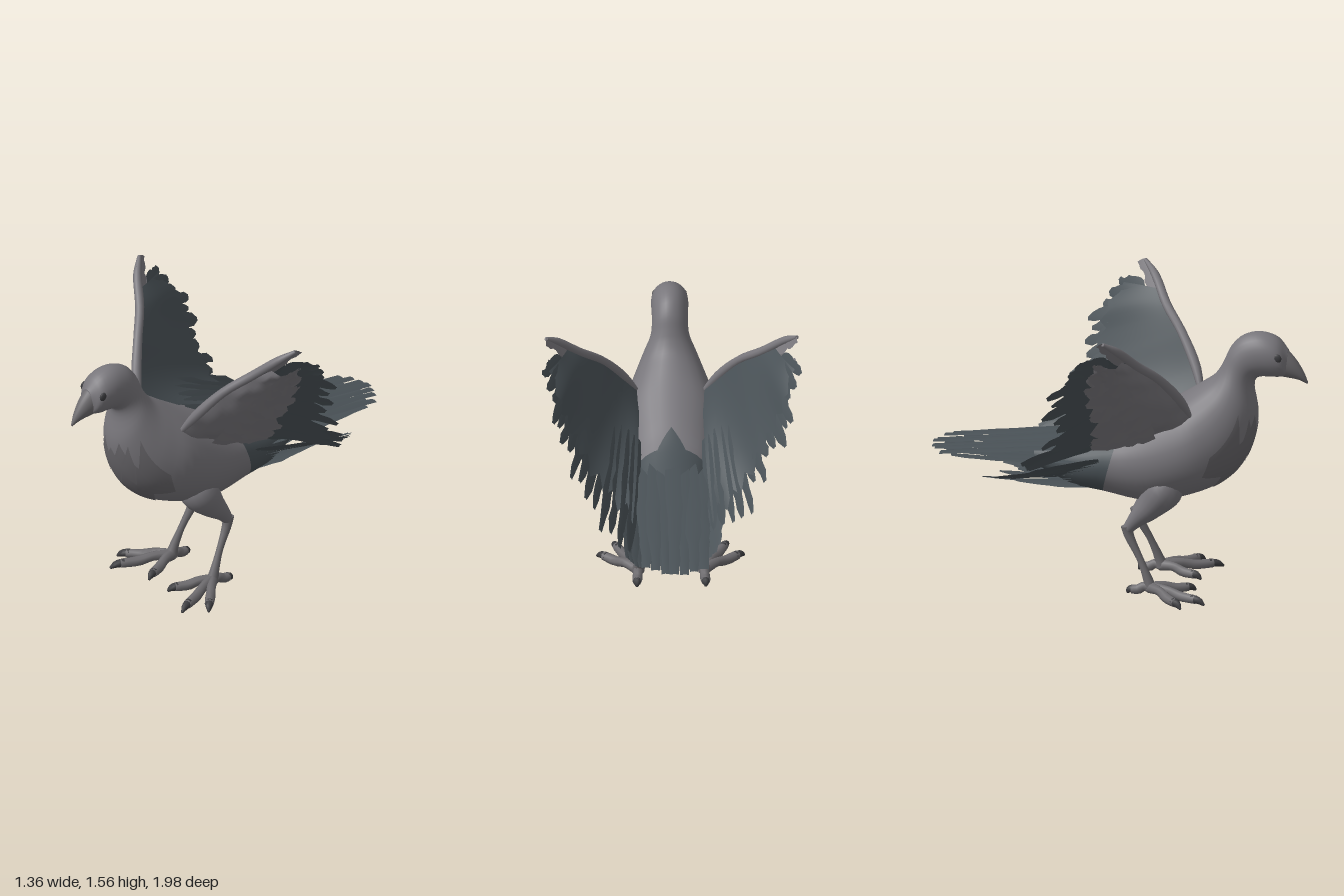
import * as THREE from 'three';

const mat = (name, color, side = THREE.FrontSide) => {
  const m = new THREE.MeshStandardMaterial({ color, side });
  m.name = name;
  return m;
};
const V = (x, y, z) => new THREE.Vector3(x, y, z);

// Closed skin over equal-sized rings of points, always wound outwards, with crisp end caps
function loft(rings) {
  const n = rings[0].length, idx = [], last = rings.length - 1;
  const pos = [...rings, rings[0], rings[last]].flat().flatMap(p => [p.x, p.y, p.z]);
  for (let i = 0; i < last; i++) for (let j = 0; j < n; j++) {
    const a = i * n + j, b = i * n + (j + 1) % n;
    idx.push(a, b, a + n, b, b + n, a + n);
  }
  const c0 = (last + 1) * n, c1 = c0 + n;
  for (let j = 1; j < n - 1; j++) idx.push(c0, c0 + j + 1, c0 + j, c1, c1 + j, c1 + j + 1);
  let volume = 0;
  const at = i => V(pos[3 * i], pos[3 * i + 1], pos[3 * i + 2]);
  for (let i = 0; i < idx.length; i += 3) volume += at(idx[i]).dot(at(idx[i + 1]).cross(at(idx[i + 2])));
  if (volume < 0) idx.reverse();
  return finish(pos, idx);
}

function finish(pos, idx) {
  const g = new THREE.BufferGeometry();
  g.setAttribute('position', new THREE.Float32BufferAttribute(pos, 3));
  g.setIndex(idx);
  g.computeVertexNormals();
  return g;
}

// Open sheet from a rule f(u, v)
function sheet(f, nu, nv) {
  const pos = [], idx = [];
  for (let i = 0; i <= nu; i++) for (let j = 0; j <= nv; j++) {
    const p = f(i / nu, j / nv);
    pos.push(p.x, p.y, p.z);
    if (i < nu && j < nv) {
      const a = i * (nv + 1) + j, b = a + nv + 1;
      idx.push(a, b, a + 1, b, b + 1, a + 1);
    }
  }
  return finish(pos, idx);
}

// Tapered limb through points [x, y, z, radius]
function limb(pts, steps = 10, sides = 10) {
  const curve = new THREE.CatmullRomCurve3(pts.map(p => V(p[0], p[1], p[2])));
  const rad = new THREE.CatmullRomCurve3(pts.map(p => V(p[3], 0, 0)), false, 'catmullrom');
  const rings = [];
  for (let i = 0; i <= steps; i++) {
    const t = i / steps, c = curve.getPoint(t), d = curve.getTangent(t), r = rad.getPoint(t).x;
    const a = V(1, 0, 0).addScaledVector(d, -d.x).normalize(), b = d.clone().cross(a);
    rings.push(Array.from({ length: sides }, (_, j) => {
      const q = j / sides * Math.PI * 2;
      return c.clone().addScaledVector(a, r * Math.cos(q)).addScaledVector(b, r * Math.sin(q));
    }));
  }
  return loft(rings);
}

// Skin defined by sections [topZ, topY, bottomZ, bottomY, halfWidth]
function trunk(sections) {
  const spline = f => new THREE.CatmullRomCurve3(sections.map(f), false, 'catmullrom');
  const top = spline(s => V(0, s[1], s[0])), bot = spline(s => V(0, s[3], s[2])), wid = spline(s => V(s[4], 0, 0));
  const n = sections.length - 1;
  const point = (k, q, grow = 1) => {
    const a = top.getPoint(k / n), b = bot.getPoint(k / n);
    const c = a.clone().add(b).multiplyScalar(0.5);
    const p = c.clone().addScaledVector(a.sub(b), 0.5 * grow * Math.cos(q));
    p.x = wid.getPoint(k / n).x * grow * Math.sin(q);
    return p;
  };
  const skin = (k0, k1, steps) => loft(Array.from({ length: steps + 1 }, (_, i) =>
    Array.from({ length: 28 }, (_, j) => point(k0 + (k1 - k0) * i / steps, j / 28 * Math.PI * 2))));
  return { point, skin, n };
}

export function createModel() {
  const root = new THREE.Group();
  root.name = 'bird';
  const plumage = mat('grey plumage', 0x78767b);
  const covert = mat('grey covert feathers', 0x78767b, THREE.DoubleSide);
  const breast = mat('breast feathers', 0x68666a, THREE.DoubleSide);
  const dark = mat('dark flight feathers', 0x495156, THREE.DoubleSide);
  const horn = mat('beak and legs', 0x6d6b6e);
  const claw = mat('claws and eyes', 0x3e3e41);
  let seed = 7;
  const rnd = () => (seed = (seed * 16807) % 2147483647) / 2147483647;
  const add = (parent, name, geo, m) => {
    const mesh = new THREE.Mesh(geo, m);
    mesh.name = name;
    parent.add(mesh);
    return mesh;
  };

  // Ragged feather: a thin strip bending through a middle point, frayed towards the end
  const feather = (base, mid, tip, across, w, end = 0.25) => {
    const curve = new THREE.QuadraticBezierCurve3(base, mid, tip);
    const half = [0.7, 0.95, 1, 1, 0.95, 0.85, 0.85, 0.7, 0.6, end];
    const jit = half.map((h, i) => [0, 1].map(() => h * (i > 3 ? 0.7 + 0.6 * rnd() : 1)));
    const n = half.length - 1;
    return sheet((u, v) => {
      const i = Math.round(u * n), s = v * 2 - 1;
      return curve.getPoint(u).addScaledVector(across, w * s * jit[i][v < 0.5 ? 0 : 1])
        .add(V(0, 0.004 * (1 - s * s), 0));
    }, n, 2);
  };

  // Body, neck and head
  const body = trunk([
    [-0.45, 0.765, -0.42, 0.63, 0.10], [-0.2, 0.82, -0.25, 0.55, 0.17], [0.02, 0.89, -0.08, 0.52, 0.21],
    [0.18, 0.98, 0.18, 0.48, 0.245], [0.33, 1.07, 0.44, 0.55, 0.262], [0.42, 1.13, 0.6, 0.65, 0.228],
    [0.49, 1.18, 0.69, 0.79, 0.183], [0.53, 1.23, 0.73, 0.97, 0.138], [0.555, 1.28, 0.71, 1.13, 0.102],
    [0.59, 1.355, 0.73, 1.19, 0.094], [0.65, 1.415, 0.79, 1.2, 0.096], [0.74, 1.44, 0.84, 1.2, 0.097],
    [0.83, 1.415, 0.88, 1.21, 0.084], [0.89, 1.35, 0.89, 1.22, 0.045],
  ]);
  add(root, 'body', body.skin(2, body.n, 44), plumage);
  add(root, 'rump', body.skin(0, 2, 8), dark);
  add(root, 'rumpPoint', sheet((u, v) => body.point(1.9 + u * 0.75, (v - 0.5) * 0.8 * (1 - u), 1.015), 4, 6), dark);

  // Overlapping pointed breast plates
  const zig = (x, n) => Math.abs(((x * n) % 1) * 2 - 1);
  add(root, 'breastPlate', sheet((u, v) => {
    const lo = 4.3 + 0.5 * zig(u, 4), hi = 6.4 + 0.9 * zig(u, 3) - 1.2 * Math.abs(u - 0.5);
    return body.point(lo + (hi - lo) * v, Math.PI + (u - 0.5) * 2.6, 1.015);
  }, 48, 10), breast);
  add(root, 'upperBreastPlate', sheet((u, v) => {
    const lo = 5.5 + 0.6 * zig(u, 3), hi = 6.4 + 0.5 * zig(u, 2);
    return body.point(lo + (hi - lo) * v, Math.PI + (u - 0.5) * 1.6, 1.03);
  }, 36, 6), breast);

  // Beak
  const beak = trunk([[0.86, 1.375, 0.82, 1.205, 0.06], [0.925, 1.305, 0.9, 1.195, 0.042],
    [0.97, 1.235, 0.95, 1.185, 0.023], [0.995, 1.175, 0.99, 1.165, 0.004]]);
  add(root, 'beak', beak.skin(0, 3, 12), horn);

  // Long centre tail in an upper and a lower layer that meet towards the end
  const tail = new THREE.Group();
  tail.name = 'tail';
  root.add(tail);
  for (let i = 0; i < 7; i++) {
    const x = -0.155 + i * 0.05, lift = 0.006 * (i % 2), z = -0.91 - 0.08 * Math.sin((i + 0.5) / 6.5 * Math.PI);
    add(tail, 'tailFeather', feather(V(x * 0.9, 0.85 + lift - 2 * x * x, -0.03), V(x, 0.775 + lift, -0.42),
      V(x, 0.722 + lift, z), V(1, 0, 0), 0.042, 0.6), dark);
    add(tail, 'lowerTailFeather', feather(V(x * 0.9, 0.72, -0.15), V(x, 0.695, -0.5),
      V(x, 0.712 + lift, z + 0.06), V(1, 0, 0), 0.04, 0.5), dark);
  }

  for (const side of [1, -1]) {
    const label = side > 0 ? 'left' : 'right';
    const P = (x, y, z) => V(x * side, y, z);
    const M = pts => pts.map(p => [p[0] * side, p[1], p[2], p[3]]);

    const eye = add(root, label + 'Eye', new THREE.SphereGeometry(0.025, 16, 12), claw);
    eye.position.copy(P(0.08, 1.325, 0.842));
    eye.scale.x = 0.45;

    // Flank and under-tail feathers
    for (let i = 0; i < 9; i++) {
      const k = i / 8;
      add(tail, label + 'FlankFeather', feather(P(0.05 + 0.15 * k, 0.56 + 0.18 * k, -0.08),
        P(0.06 + 0.17 * k, 0.53 + 0.15 * k, -0.35), P(0.05 + 0.19 * k, 0.56 + 0.07 * k, -0.52 - 0.2 * rnd()),
        P(0.75, 0.65 * k, 0).normalize(), 0.045), dark);
    }

    // Raised wing between a leading edge and a line of feather tips
    const wing = new THREE.Group();
    wing.name = label + 'Wing';
    root.add(wing);
    const lead = new THREE.CatmullRomCurve3([P(0.17, 1.0, 0.4), P(0.25, 1.12, 0.36), P(0.36, 1.27, 0.26),
      P(0.46, 1.37, 0.17), P(0.55, 1.44, 0.1)]);
    const trail = new THREE.CatmullRomCurve3([P(0.23, 0.66, -0.6), P(0.34, 0.7, -0.47), P(0.44, 0.8, -0.38),
      P(0.52, 0.96, -0.32), P(0.59, 1.13, -0.28), P(0.625, 1.27, -0.24), P(0.67, 1.42, -0.12)]);
    const back = P(-0.81, 0.53, -0.26).normalize();
    const at = (t, s, off = 0) => lead.getPoint(t).lerp(trail.getPoint(t), s)
      .addScaledVector(back, off + 0.015 * Math.sin(Math.PI * Math.min(s, 1)));
    const span = P(0.5, 0.7, -0.2).normalize();
    // Puffed, rumpled feather lining on the underside
    const puff = (t, s) => -0.012 - 0.04 * Math.sin(Math.PI * Math.min(1, s / 0.6) ** 0.7)
      - 0.006 * Math.sin(t * 23 + s * 9) * Math.sin(s * 30);
    add(wing, 'wingBack', sheet((u, v) => at(u, v * (0.76 + 0.1 * zig(u, 8)), 0.008), 48, 8), dark);
    add(wing, 'wingLining', sheet((u, v) => {
      const s = v * (0.53 + 0.07 * zig(u, 6));
      return at(u, s, puff(u, s));
    }, 36, 12), covert);
    for (let i = 0; i < 15; i++) {
      const t = i / 14, s = 0.88 + 0.2 * rnd();
      add(wing, 'flightFeather', feather(at(t, 0.3), at(t, 0.65, 0.012 * (i % 2)), at(t, s), span, 0.046), dark);
    }
    for (let row = 0; row < 2; row++) for (let i = 0; i < 8; i++) {
      const t = (i + 0.5 * row) / 8 + 0.03, s = 0.2 + row * 0.16, e = s + 0.2 + 0.06 * rnd();
      add(wing, 'covertFeather', feather(at(t, s, puff(t, s) - 0.004), at(t, s + 0.1, puff(t, s + 0.1) - 0.012),
        at(t, e, puff(t, e) - 0.006), span, 0.055), covert);
    }
    add(wing, 'wingArm', limb(M([[0.15, 0.97, 0.41, 0.008], [0.25, 1.12, 0.36, 0.026], [0.36, 1.275, 0.265, 0.024],
      [0.47, 1.385, 0.165, 0.024], [0.59, 1.5, 0.085, 0.022], [0.655, 1.56, 0.02, 0.01]]), 20), plumage);
    add(wing, 'wingTip', feather(P(0.52, 1.41, 0.11), P(0.6, 1.5, 0.06), P(0.655, 1.555, 0.0),
      P(0.1, -0.5, -0.85).normalize(), 0.042, 0.5), covert);

    // Leg and foot
    const leg = new THREE.Group();
    leg.name = label + 'Leg';
    root.add(leg);
    add(leg, 'thigh', limb(M([[0.1, 0.66, 0.29, 0.07], [0.135, 0.58, 0.25, 0.105], [0.15, 0.49, 0.185, 0.075],
      [0.147, 0.41, 0.11, 0.045], [0.14, 0.34, 0.055, 0.026]]), 16, 16), plumage);
    add(leg, 'shank', limb(M([[0.14, 0.37, 0.06, 0.033], [0.143, 0.32, 0.07, 0.026], [0.158, 0.2, 0.13, 0.018],
      [0.17, 0.09, 0.175, 0.025], [0.172, 0.04, 0.19, 0.034]]), 14), horn);
    const tips = [[0.38, 0.38], [0.3, 0.49], [0.08, 0.41], [0.18, 0.07]];
    for (const [x, z] of tips) {
      const mix = (k, y, r) => [0.172 + (x - 0.172) * k, y, 0.19 + (z - 0.19) * k, r];
      add(leg, 'toe', limb(M([mix(0, 0.045, 0.032), mix(0.3, 0.05, 0.025), mix(0.55, 0.033, 0.027),
        mix(0.85, 0.032, 0.024)]), 8, 8), horn);
      add(leg, 'claw', limb(M([mix(0.78, 0.035, 0.023), mix(0.92, 0.03, 0.019), mix(1.02, 0.012, 0.006)]), 5, 8), claw);
    }
  }
  return root;
}
